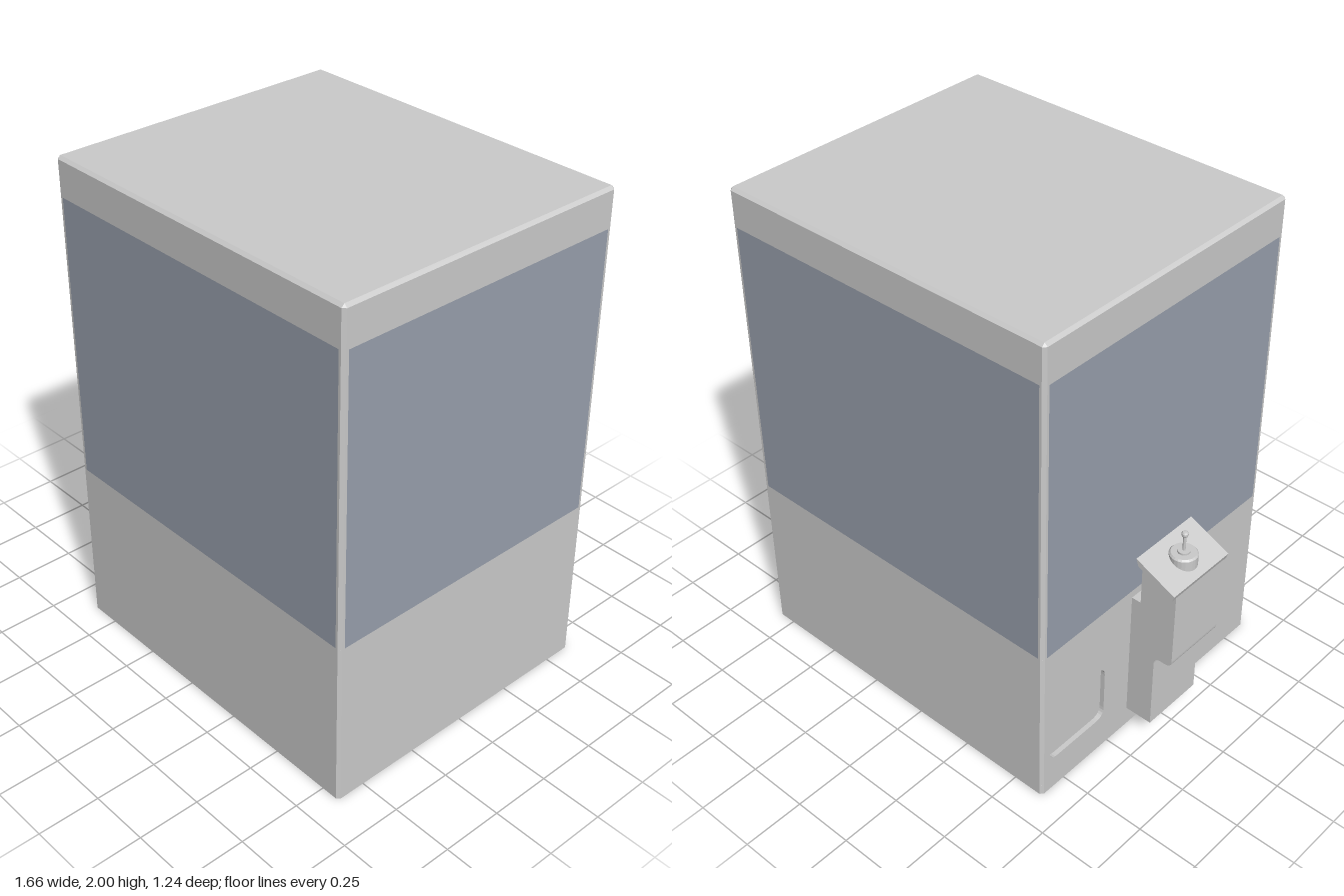
import * as THREE from 'three';
import { ConvexGeometry } from 'three/addons/geometries/ConvexGeometry.js';

const grey = new THREE.MeshStandardMaterial({ color: 0xcccccc, side: THREE.DoubleSide });
const glass = new THREE.MeshStandardMaterial({ color: 0x99a0ad, side: THREE.DoubleSide });

const X0 = -0.632, X1 = 0.83, Z = 0.622, H = 2, C = 0.012; // cabinet limits and chamfer
const FLOOR = 0.69, GLASS_TOP = 1.845;

function add(parent, name, geometry, material = grey, x = 0, y = 0, z = 0) {
  const mesh = new THREE.Mesh(geometry, material);
  mesh.name = name;
  mesh.position.set(x, y, z);
  parent.add(mesh);
  return mesh;
}

// Rectangle outline, optionally with rounded corners
function rect(x0, y0, x1, y1, r = 0, Type = THREE.Shape) {
  const s = new Type();
  if (!r) return s.setFromPoints([[x0, y0], [x1, y0], [x1, y1], [x0, y1]].map(p => new THREE.Vector2(...p)));
  s.moveTo(x0 + r, y0);
  s.lineTo(x1 - r, y0); s.quadraticCurveTo(x1, y0, x1, y0 + r);
  s.lineTo(x1, y1 - r); s.quadraticCurveTo(x1, y1, x1 - r, y1);
  s.lineTo(x0 + r, y1); s.quadraticCurveTo(x0, y1, x0, y1 - r);
  s.lineTo(x0, y0 + r); s.quadraticCurveTo(x0, y0, x0 + r, y0);
  return s;
}

// Extrude an x-y profile symmetrically about z = 0
function prism(shape, width) {
  return new THREE.ExtrudeGeometry(shape, { depth: width, bevelEnabled: false, curveSegments: 6 })
    .translate(0, 0, -width / 2);
}

// One side of the cabinet: solid sheet around a flush window
function wall(parent, name, width, x, z, angle, openings = []) {
  const side = new THREE.Group();
  side.name = name;
  side.position.set(x, 0, z);
  side.rotation.y = angle;
  const w = width / 2 - C, g = width / 2 - 0.022;
  const sheet = rect(-w, 0, w, H - C);
  sheet.holes.push(rect(-g, FLOOR, g, GLASS_TOP, 0, THREE.Path), ...openings);
  add(side, 'wallPanel', new THREE.ShapeGeometry(sheet));
  add(side, 'window', new THREE.ShapeGeometry(rect(-g, FLOOR, g, GLASS_TOP)), glass);
  parent.add(side);
  return side;
}

function buildCabinet(root) {
  const cabinet = new THREE.Group();
  cabinet.name = 'cabinet';
  root.add(cabinet);
  const cx = (X0 + X1) / 2, w = X1 - X0;
  const door = [-0.58, 0.15, -0.275, 0.41, 0.045];

  wall(cabinet, 'frontWall', w, cx, Z, 0);
  wall(cabinet, 'backWall', w, cx, -Z, Math.PI);
  wall(cabinet, 'leftWall', 2 * Z, X1, 0, Math.PI / 2);
  const right = wall(cabinet, 'rightWall', 2 * Z, X0, 0, -Math.PI / 2, [rect(...door, THREE.Path)]);

  // Recessed prize door
  const frame = rect(-0.585, 0.145, -0.27, 0.415, 0.048);
  frame.holes.push(rect(...door, THREE.Path));
  add(right, 'doorFrame', prism(frame, 0.02), grey, 0, 0, -0.011);
  add(right, 'prizeDoor', new THREE.ShapeGeometry(rect(...door)), grey, 0, 0, -0.02);

  // Chamfered corner strips
  for (const sx of [-1, 1]) for (const sz of [-1, 1]) {
    const strip = add(cabinet, 'cornerStrip', new THREE.PlaneGeometry(C * Math.SQRT2, H - C), grey,
      cx + sx * (w / 2 - C / 2), (H - C) / 2, sz * (Z - C / 2));
    strip.rotation.y = Math.atan2(sx, sz);
  }

  // Roof with a chamfered rim
  const pts = [];
  for (const sx of [-1, 1]) for (const sz of [-1, 1]) {
    const x = w / 2, y = H - C;
    pts.push(new THREE.Vector3(cx + sx * x, y, sz * (Z - C)),
      new THREE.Vector3(cx + sx * (x - C), y, sz * Z),
      new THREE.Vector3(cx + sx * (x - C), H, sz * (Z - C)));
  }
  add(cabinet, 'roof', new ConvexGeometry(pts));
}

// Play floor with a prize chute hanging below one corner
function buildInterior(root) {
  const e = 0.004, cx1 = -0.235, cz1 = -0.25, low = 0.045;
  const floor = rect(X0 + e, -Z + e, X1 - e, Z - e);
  floor.holes.push(rect(X0 + 0.03, -Z + 0.03, cx1, cz1, 0, THREE.Path));
  const sheet = new THREE.ShapeGeometry(floor).rotateX(Math.PI / 2);
  add(root, 'playFloor', sheet, grey, 0, FLOOR, 0);

  const cw = cx1 - X0 - e, cd = cz1 + Z - e, h = FLOOR - low;
  const mx = (cx1 + X0 + e) / 2, mz = (cz1 - Z + e) / 2;
  add(root, 'chuteSide', new THREE.PlaneGeometry(cw, h), grey, mx, low + h / 2, cz1);
  add(root, 'chuteSide', new THREE.PlaneGeometry(cd, h).rotateY(Math.PI / 2), grey, cx1, low + h / 2, mz);
  add(root, 'chuteBottom', new THREE.PlaneGeometry(cw, cd).rotateX(Math.PI / 2), grey, mx, low, mz);
}

function buildConsole(root) {
  const group = new THREE.Group();
  group.name = 'controlConsole';
  root.add(group);

  // Stepped body with rounded overhang
  const s = new THREE.Shape();
  s.moveTo(X0, 0.085);
  s.lineTo(-0.747, 0.085);
  s.lineTo(-0.747, 0.4);
  s.quadraticCurveTo(-0.747, 0.43, -0.777, 0.43);
  s.lineTo(-0.797, 0.43);
  s.quadraticCurveTo(-0.827, 0.43, -0.827, 0.46);
  s.lineTo(-0.827, 0.78);
  s.lineTo(-0.672, 0.85);
  s.lineTo(-0.672, 0.657);
  s.lineTo(X0, 0.657);
  add(group, 'consoleBody', prism(s, 0.27));

  // Sloping control panel
  const plate = new THREE.Shape([[-0.835, 0.798], [-0.826, 0.772], [-0.67, 0.846], [-0.66, 0.876]]
    .map(p => new THREE.Vector2(...p)));
  add(group, 'controlPanel', prism(plate, 0.316));

  // Joystick: collar, washer, shaft and knob
  const collar = [[0.054, 0.79], [0.054, 0.858], [0.048, 0.865], [0.024, 0.865], [0.024, 0.873], [0, 0.873]];
  const stick = [[0.006, 0.87], [0.006, 0.935], [0.011, 0.937], [0.013, 0.942], [0.013, 0.95], [0.009, 0.956], [0, 0.957]];
  for (const [name, profile] of [['joystickBase', collar], ['joystick', stick]]) {
    const geo = new THREE.LatheGeometry(profile.map(p => new THREE.Vector2(...p)), 24).toNonIndexed();
    geo.computeVertexNormals();
    add(group, name, geo, grey, -0.752, 0, -0.003);
  }
}

export function createModel() {
  const model = new THREE.Group();
  model.name = 'arcadeCabinet';
  buildCabinet(model);
  buildInterior(model);
  buildConsole(model);
  return model;
}
